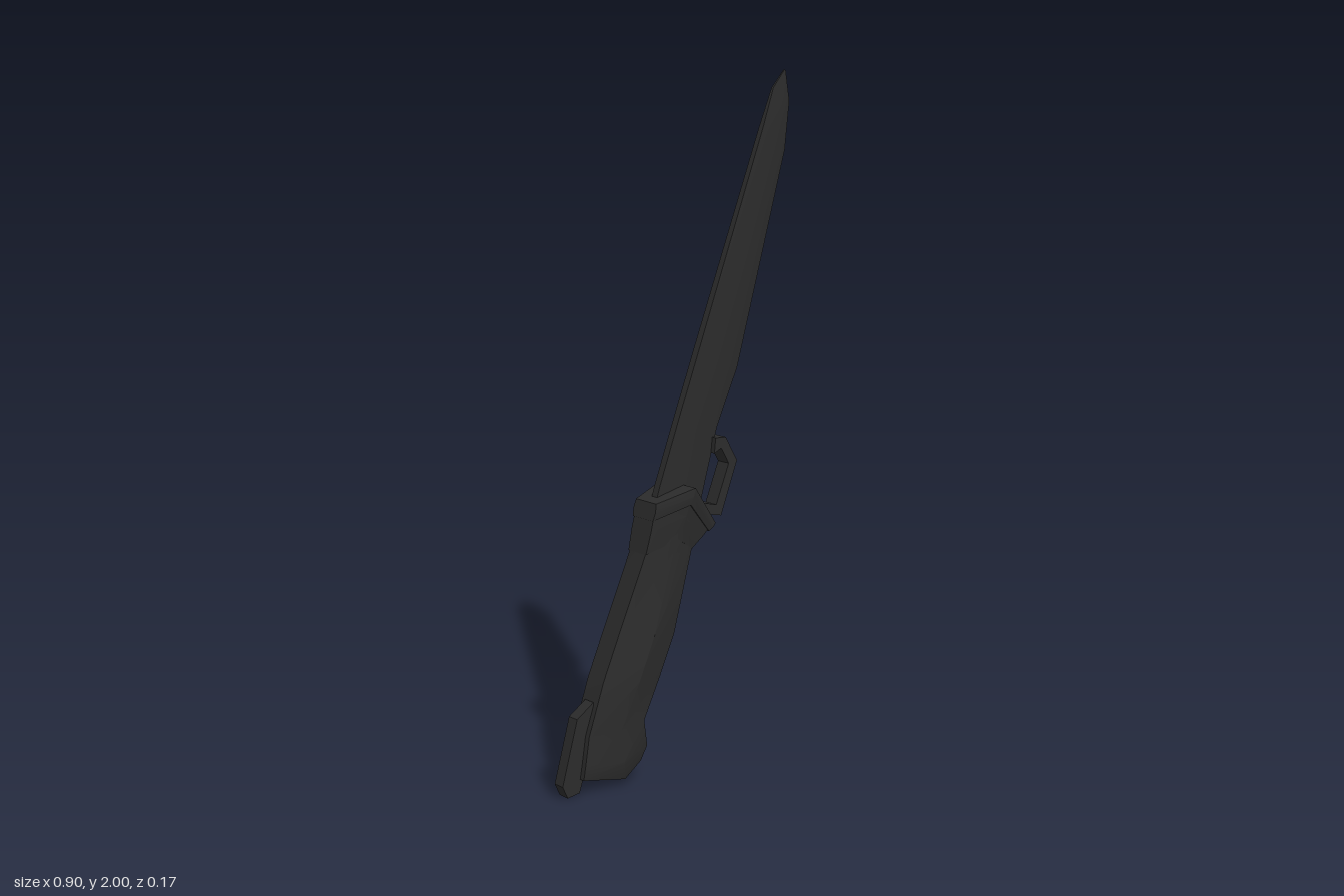
import * as THREE from 'three';
import { toCreasedNormals } from 'three/addons/utils/BufferGeometryUtils.js';

const material = new THREE.MeshStandardMaterial({ color: 0x2b2b2b });

// The whole knife leans slightly in depth
function finish(name, geometry, crease = 0.55) {
  const p = geometry.attributes.position;
  for (let i = 0; i < p.count; i++) p.setZ(i, p.getZ(i) - 0.07 * p.getX(i) - 0.01);
  const mesh = new THREE.Mesh(toCreasedNormals(geometry, crease), material);
  mesh.name = name;
  return mesh;
}

// Six-sided loft. Station: [ax, ay, bx, by, halfA, halfMid, halfB, midAt, midDrop]
function loft(stations) {
  const pos = [], idx = [], n = 6;
  for (const [ax, ay, bx, by, ha, hm, hb, t = 0.5, drop = 0] of stations) {
    const mx = ax + (bx - ax) * t, my = ay + (by - ay) * t - drop;
    pos.push(ax, ay, ha, mx, my, hm, bx, by, hb, bx, by, -hb, mx, my, -hm, ax, ay, -ha);
  }
  const last = (stations.length - 1) * n;
  for (let s = 0; s < last; s += n) {
    for (let j = 0; j < n; j++) {
      const k = (j + 1) % n;
      idx.push(s + j, s + k, s + n + k, s + j, s + n + k, s + n + j);
    }
  }
  // End caps, each split into two quads across the middle
  for (const [a, b, c, d] of [[0, 1, 4, 5], [1, 2, 3, 4]]) {
    idx.push(a, c, b, a, d, c);
    idx.push(last + a, last + b, last + c, last + a, last + c, last + d);
  }
  const g = new THREE.BufferGeometry();
  g.setAttribute('position', new THREE.Float32BufferAttribute(pos, 3));
  g.setIndex(idx);
  return g;
}

// Flat outline with thickness centred on z = 0
function plate(points, half) {
  const shape = new THREE.Shape(points.map(([x, y]) => new THREE.Vector2(x, y)));
  const g = new THREE.ExtrudeGeometry(shape, { depth: half * 2, bevelEnabled: false });
  return g.translate(0, 0, -half);
}

export function createModel() {
  const knife = new THREE.Group();
  knife.name = 'knife';

  // Blade: flat spine, ridge along the middle, sharp edge
  knife.add(finish('blade', loft([
    [-0.11, 0.74, 0.06, 0.70, 0.012, 0.021, 0.012],
    [-0.075, 0.84, 0.085, 0.77, 0.012, 0.022, 0.012],
    [0.005, 1.04, 0.155, 0.98, 0.012, 0.022, 0.006],
    [0.085, 1.235, 0.24, 1.15, 0.012, 0.022, 0.003],
    [0.335, 1.84, 0.43, 1.77, 0.009, 0.016, 0.003],
    [0.38, 1.95, 0.447, 1.91, 0.004, 0.011, 0.003],
    [0.427, 2.0, 0.432, 1.997, 0.002, 0.002, 0.002],
  ])));

  // Handle with a swelling grip and flared pommel
  knife.add(finish('handle', loft([
    [-0.386, 0.048, -0.165, 0.053, 0.036, 0.05, 0.03, 0.65, 0.03],
    [-0.378, 0.09, -0.145, 0.095, 0.036, 0.072, 0.035, 0.5, 0.01],
    [-0.365, 0.17, -0.16, 0.175, 0.036, 0.06, 0.04],
    [-0.31, 0.32, -0.10, 0.295, 0.036, 0.074, 0.042],
    [-0.245, 0.46, -0.045, 0.41, 0.036, 0.073, 0.042],
    [-0.15, 0.66, 0.025, 0.645, 0.036, 0.058, 0.04],
    [-0.13, 0.72, 0.045, 0.70, 0.036, 0.058, 0.04],
  ])));

  // Chevron guard and its raised upper rim
  knife.add(finish('guard', loft([
    [-0.118, 0.79, -0.152, 0.66, 0.042, 0.044, 0.04],
    [0.004, 0.82, -0.04, 0.69, 0.07, 0.066, 0.057],
    [0.106, 0.71, 0.027, 0.648, 0.044, 0.044, 0.04],
  ]), 0.4));
  knife.add(finish('guardRim', loft([
    [-0.117, 0.803, -0.13, 0.755, 0.046, 0.05, 0.046],
    [0.01, 0.835, -0.005, 0.787, 0.076, 0.077, 0.072],
    [0.116, 0.711, 0.09, 0.69, 0.046, 0.05, 0.046],
  ]), 0.4));

  // Open finger loop joined to the blade edge
  knife.add(finish('fingerLoop', plate([
    [0.135, 0.955], [0.175, 0.953], [0.222, 0.878], [0.158, 0.722], [0.075, 0.74],
    [0.08, 0.772], [0.138, 0.757], [0.188, 0.873], [0.158, 0.922], [0.13, 0.91],
  ], 0.024), 0.3));

  // Narrow catch along the back of the pommel
  knife.add(finish('pommelCatch', plate([
    [-0.335, 0.262], [-0.395, 0.225], [-0.45, 0.04], [-0.432, 0.003],
    [-0.388, 0.008], [-0.37, 0.06], [-0.33, 0.2],
  ], 0.019), 0.3));

  return knife;
}
